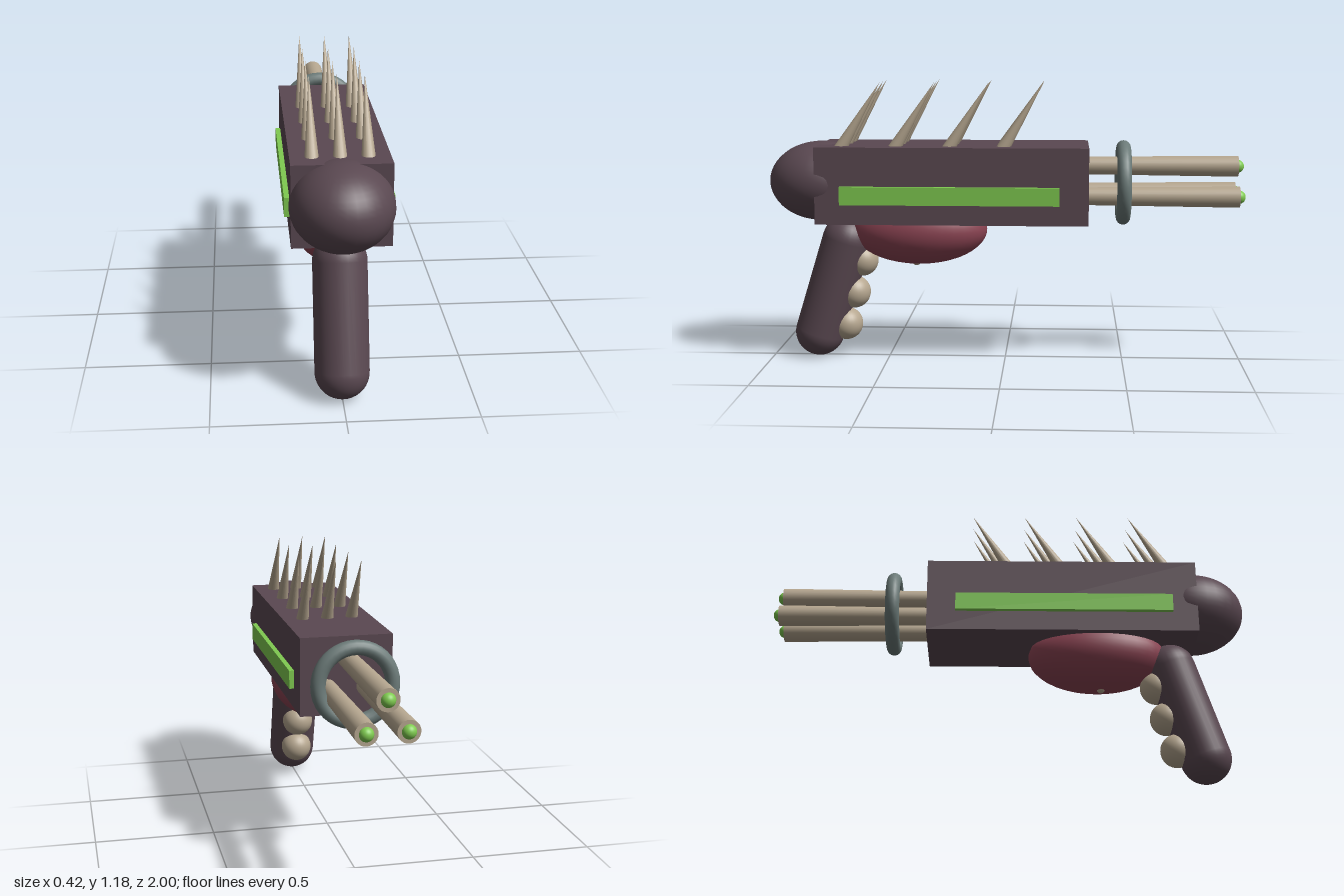
import * as THREE from 'three';

const mat = (name, color) => {
  const m = new THREE.MeshStandardMaterial({ color });
  m.name = name;
  return m;
};

export function createModel() {
  const hide = mat('dark plum hide', 0x5a4851);
  const bone = mat('bone', 0xb5a68f);
  const flesh = mat('red flesh', 0x8c4453);
  const glow = mat('glowing green', 0x7fca50);
  const metal = mat('grey metal', 0x6c7b79);

  const model = new THREE.Group();
  model.name = 'sporeBlaster';
  const add = (name, geometry, material, x, y, z) => {
    const mesh = new THREE.Mesh(geometry, material);
    mesh.name = name;
    mesh.position.set(x, y, z);
    model.add(mesh);
    return mesh;
  };
  const ball = (rx, ry, rz) => new THREE.SphereGeometry(1, 32, 24).scale(rx, ry, rz);

  // Main body with a rounded cap on the grip end
  add('body', new THREE.BoxGeometry(0.376, 0.32, 1.13), hide, 0, 0.76, 0.215);
  add('endCap', ball(0.196, 0.168, 0.22), hide, 0, 0.762, 0.78);

  // Slanted grip with three finger knuckles
  const grip = add('grip', new THREE.CapsuleGeometry(0.105, 0.42, 12, 28), hide, 0, 0.306, 0.741);
  grip.rotation.x = -0.3;
  for (let i = 0; i < 3; i++) {
    add('knuckle', ball(0.07, 0.07, 0.07), bone, 0, 0.14 + i * 0.14, 0.687 - i * 0.036);
  }

  // Fleshy sac under the body, with the trigger tip just breaking through
  add('sac', ball(0.168, 0.15, 0.29), flesh, 0, 0.557, 0.367);
  add('triggerTip', ball(0.02, 0.025, 0.02), bone, 0, 0.422, 0.38);

  // Glowing side strips
  for (const s of [1, -1]) {
    add('sideStrip', new THREE.BoxGeometry(0.03, 0.075, 0.905), glow, s * 0.193, 0.722, 0.222);
  }

  // Rows of spikes leaning towards the muzzle
  const lean = 0.55, spikeHeight = 0.36;
  for (let row = 0; row < 4; row++) {
    for (let col = -1; col <= 1; col++) {
      const y = 1.185 - Math.cos(lean) * spikeHeight / 2;
      const z = 0.512 - row * 0.225 + Math.sin(lean) * spikeHeight / 2;
      const spike = add('spike', new THREE.ConeGeometry(0.03, spikeHeight, 16), bone, col * 0.105, y, z);
      spike.rotation.x = -lean;
    }
  }

  // Three slightly flared barrels with glowing tips
  for (const [x, y] of [[0, 0.831], [0.078, 0.711], [-0.078, 0.711]]) {
    const barrel = new THREE.CylinderGeometry(0.044, 0.037, 0.665, 24).rotateX(-Math.PI / 2);
    add('barrel', barrel, bone, x, y, -0.6425);
    add('barrelTip', ball(0.028, 0.028, 0.028), glow, x, y, -0.972);
  }

  // Ring around the barrels
  add('barrelRing', new THREE.TorusGeometry(0.148, 0.03, 16, 40), metal, 0, 0.76, -0.497);

  return model;
}
